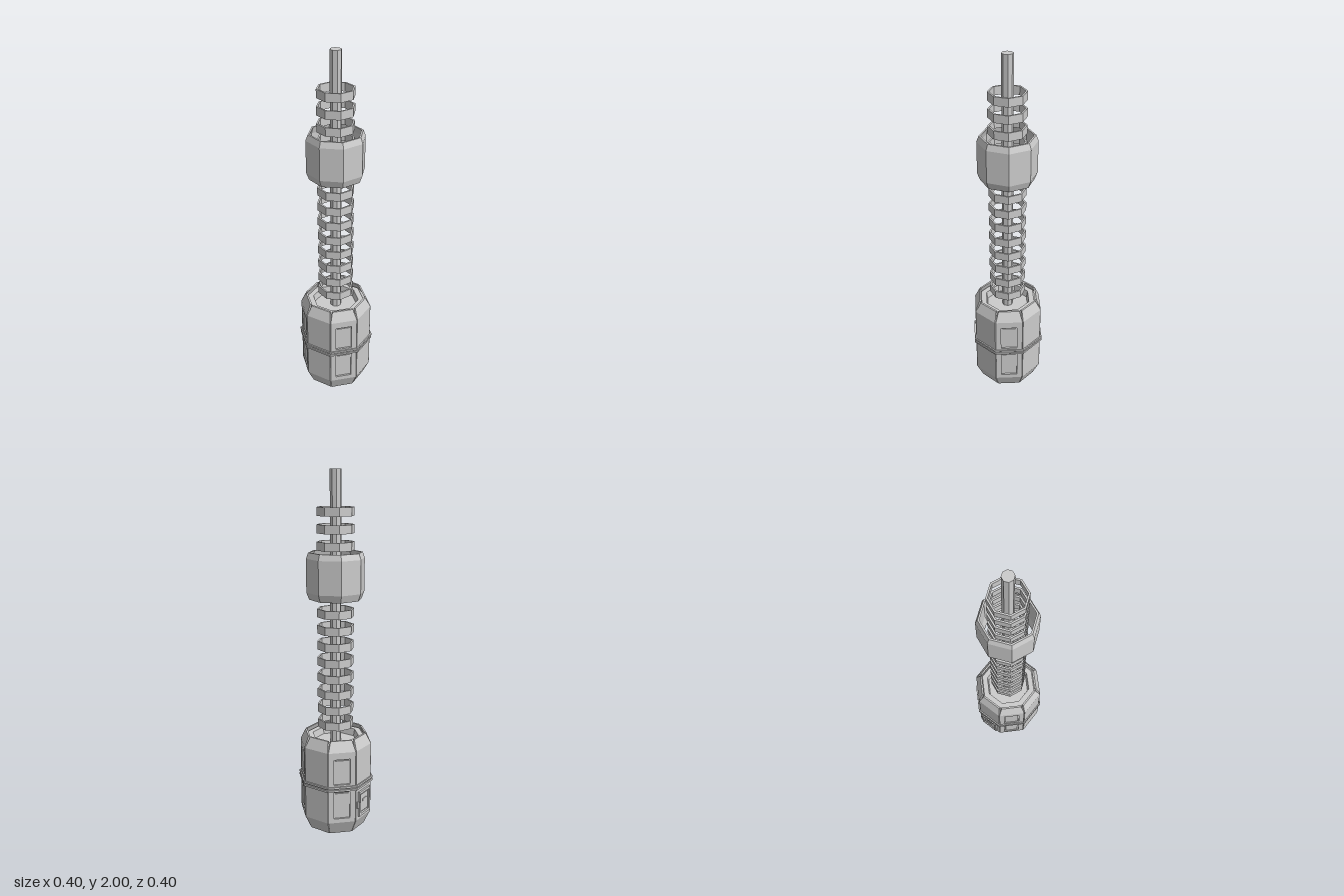
import * as THREE from 'three';

const material = new THREE.MeshStandardMaterial({ color: 0xcccccc, flatShading: true });
const FLAT = 1 / Math.cos(Math.PI / 8); // flat-to-corner ratio of an octagon

function add(parent, name, geometry, x = 0, y = 0, z = 0) {
  const mesh = new THREE.Mesh(geometry, material);
  mesh.name = name;
  mesh.position.set(x, y, z);
  parent.add(mesh);
  return mesh;
}

// Eight-sided turned shape; flats = true puts faces (not corners) on the axes
function octagon(profile, flats = false) {
  const k = flats ? FLAT : 1;
  const geometry = new THREE.LatheGeometry(profile.map(([r, y]) => new THREE.Vector2(r * k, y)), 8);
  return flats ? geometry.rotateY(Math.PI / 8) : geometry;
}

// Closed octagonal hoop
function hoop(outer, inner, y0, y1, flats) {
  return octagon([[outer, y0], [outer, y1], [inner, y1], [inner, y0], [outer, y0]], flats);
}

// Armour slab facing +z; rows are [height, distance from axis, half width]
function slab(rows, thickness = 0.01) {
  const n = rows.length - 1;
  const geometry = new THREE.BoxGeometry(1, 1, 1, 1, n, 1);
  const p = geometry.attributes.position;
  for (let i = 0; i < p.count; i++) {
    const [y, out, half] = rows[Math.round((p.getY(i) + 0.5) * n)];
    p.setXYZ(i, p.getX(i) * 2 * half, y, out - (p.getZ(i) < 0 ? thickness : 0));
  }
  return geometry;
}

function rectangle(path, half, y0, y1) {
  path.moveTo(-half, y0);
  path.lineTo(half, y0);
  path.lineTo(half, y1);
  path.lineTo(-half, y1);
  path.closePath();
  return path;
}

const LOW = [[0, 0.155, 0.063], [0.08, 0.19, 0.076]];
const HIGH = [[0.5, 0.19, 0.076], [0.56, 0.165, 0.06]];
const WINDOWS = [[0.105, 0.265], [0.31, 0.46]];

// Diagonal panel with two recessed windows
function windowPanel(parent) {
  add(parent, 'lowerFlap', slab(LOW));
  add(parent, 'upperFlap', slab(HIGH));
  const shape = rectangle(new THREE.Shape(), 0.076, 0.08, 0.5);
  for (const [y0, y1] of WINDOWS) {
    shape.holes.push(rectangle(new THREE.Path(), 0.046, y0, y1));
    add(parent, 'windowPane', new THREE.BoxGeometry(0.076, y1 - y0 - 0.016, 0.006), 0, (y0 + y1) / 2, 0.183);
  }
  add(parent, 'windowFrame', new THREE.ExtrudeGeometry(shape, { depth: 0.01, bevelEnabled: false }), 0, 0, 0.18);
}

// Small service hatch, built facing +z
function hatch(parent) {
  const frame = rectangle(new THREE.Shape(), 0.055, 0.1, 0.25);
  frame.holes.push(rectangle(new THREE.Path(), 0.042, 0.115, 0.235));
  add(parent, 'hatchFrame', new THREE.ExtrudeGeometry(frame, { depth: 0.012, bevelEnabled: false }), 0, 0, 0.189);
  add(parent, 'hatchDoor', new THREE.BoxGeometry(0.07, 0.105, 0.008), 0, 0.175, 0.192);
  add(parent, 'hatchGrip', new THREE.BoxGeometry(0.036, 0.014, 0.006), 0, 0.19, 0.197);
  add(parent, 'hatchHandle', new THREE.BoxGeometry(0.012, 0.04, 0.008), -0.064, 0.175, 0.193);
}

export function createModel() {
  const model = new THREE.Group();
  model.name = 'ringedTower';

  // Central pole
  add(model, 'pole', new THREE.CylinderGeometry(0.031, 0.031, 1.9, 8), 0, 1.05, 0);

  // Evenly spaced floating rings
  for (let i = 0; i < 14; i++) {
    add(model, 'ring', hoop(0.102, 0.092, -0.023, 0.023), 0, 0.615 + i * 0.09, 0);
  }

  // Hollow collar with tapered rims
  add(model, 'collar', octagon([
    [0.145, 1.32], [0.16, 1.36], [0.16, 1.54], [0.148, 1.572],
    [0.138, 1.572], [0.149, 1.535], [0.149, 1.365], [0.135, 1.32], [0.145, 1.32],
  ]));

  // Base core with a sunken top and underside
  add(model, 'baseCore', octagon([
    [0, 0.1], [0.1, 0.1], [0.112, 0.08], [0.15, 0.08], [0.18, 0.1], [0.18, 0.5],
    [0.152, 0.54], [0.122, 0.54], [0.115, 0.5], [0, 0.5],
  ], true));

  // Eight armour panels, with windows on the diagonals
  for (let i = 0; i < 8; i++) {
    const panel = new THREE.Group();
    panel.name = i % 2 ? 'windowPanel' : 'plainPanel';
    panel.rotation.y = i * Math.PI / 4;
    if (i % 2) windowPanel(panel);
    else add(panel, 'plate', slab([...LOW, ...HIGH]));
    model.add(panel);
  }

  // Twin belt around the base
  for (const y of [0.272, 0.29]) add(model, 'belt', hoop(0.199, 0.192, y, y + 0.011, true));

  // Hatch on the right side
  const door = new THREE.Group();
  door.name = 'hatch';
  door.rotation.y = -Math.PI / 2;
  hatch(door);
  model.add(door);

  return model;
}
